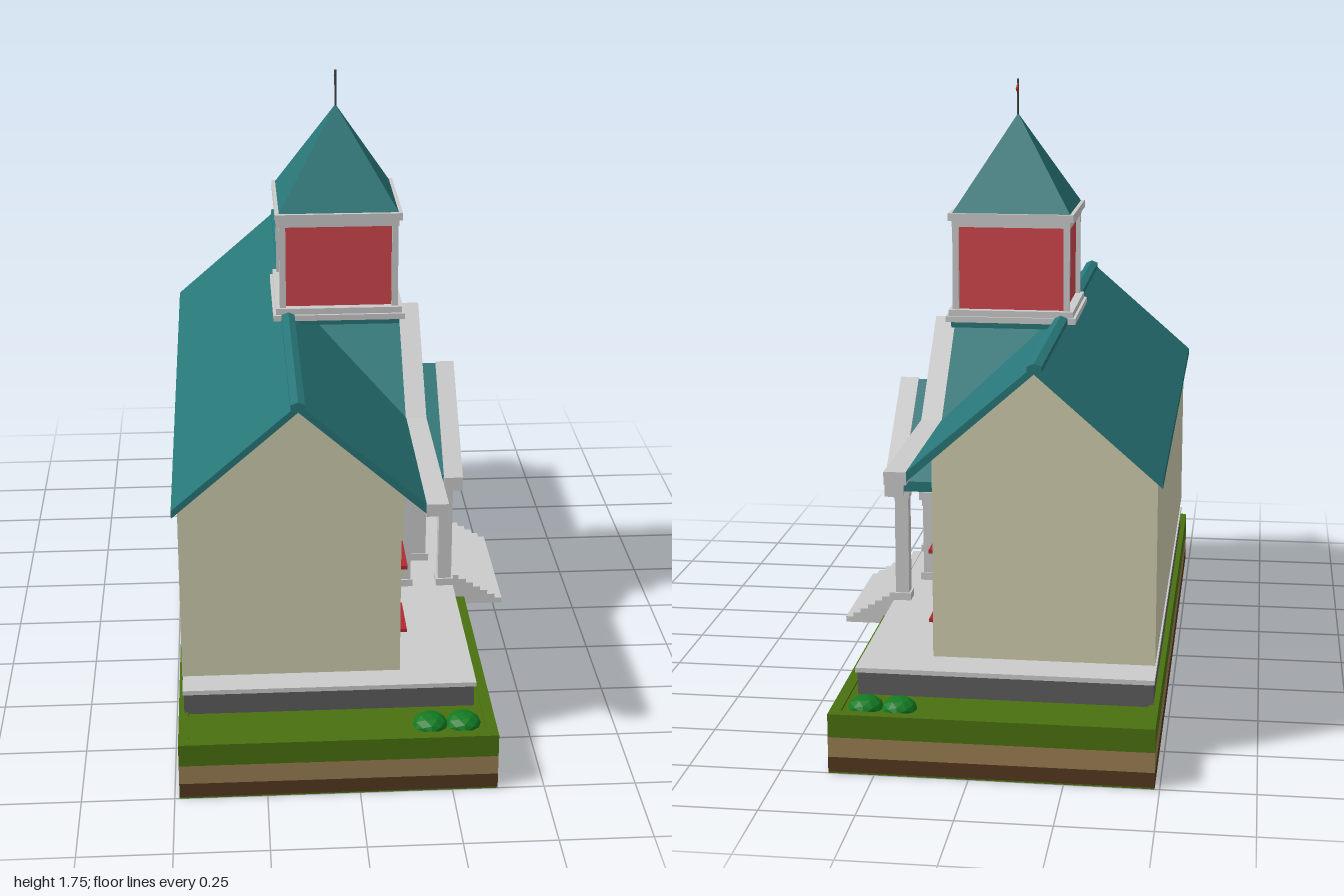
import * as THREE from 'three';

const mat = (color) => new THREE.MeshStandardMaterial({ color, flatShading: true, side: THREE.DoubleSide });

export function createModel() {
  const root = new THREE.Group();
  root.name = 'schoolhouse';
  const M = {
    grey: mat(0xcccccc), stone: mat(0x5e5c5c), teal: mat(0x287678), cream: mat(0xcfcdae), red: mat(0xd2474e),
    sill: mat(0xb02a30), grass: mat(0x4a7010), tan: mat(0x9a7d52), soil: mat(0x543820),
    bush: mat(0x127a22), ring: mat(0x4c5a52), pole: mat(0x444444), flag: mat(0xb5391f),
  };

  const add = (parent, name, geo, m, x = 0, y = 0, z = 0) => {
    const mesh = new THREE.Mesh(geo, m);
    mesh.name = name;
    mesh.position.set(x, y, z);
    parent.add(mesh);
    return mesh;
  };
  // box given by its extents
  const box = (parent, name, m, x0, x1, y0, y1, z0, z1) =>
    add(parent, name, new THREE.BoxGeometry(x1 - x0, y1 - y0, z1 - z0), m, (x0 + x1) / 2, (y0 + y1) / 2, (z0 + z1) / 2);
  const extrude = (pts, depth) => new THREE.ExtrudeGeometry(
    new THREE.Shape(pts.map((p) => new THREE.Vector2(p[0], p[1]))), { depth, bevelEnabled: false });
  // outline in x-y, running along z
  const alongZ = (parent, name, m, pts, z0, z1) => add(parent, name, extrude(pts, z1 - z0), m, 0, 0, z0);
  // symmetric outline in z-y, running along x
  const alongX = (parent, name, m, pts, x0, x1) =>
    add(parent, name, extrude(pts, x1 - x0).rotateY(Math.PI / 2), m, x0, 0, 0);
  const chevron = (half, eave, apex, t) =>
    [[-half, eave - t], [0, apex - t], [half, eave - t], [half, eave], [0, apex], [-half, eave]];
  const group = (name) => {
    const g = new THREE.Group();
    g.name = name;
    root.add(g);
    return g;
  };

  // layered ground with a slightly raised lawn border
  const ground = group('ground');
  box(ground, 'groundUnderside', M.grass, -0.487, 0.373, 0, 0.004, -1, 1);
  box(ground, 'soilLayer', M.soil, -0.487, 0.373, 0.004, 0.045, -1, 1);
  box(ground, 'clayLayer', M.tan, -0.487, 0.373, 0.045, 0.1, -1, 1);
  box(ground, 'lawn', M.grass, -0.487, 0.373, 0.1, 0.158, -1, 1);
  for (const s of [-1, 1])
    box(ground, 'lawnBorderEnd', M.grass, -0.487, 0.373, 0.158, 0.164, s * 0.985 - 0.015, s * 0.985 + 0.015);
  box(ground, 'lawnBorderBack', M.grass, -0.487, -0.46, 0.158, 0.164, -0.97, 0.97);
  box(ground, 'lawnBorderFront', M.grass, 0.343, 0.373, 0.158, 0.164, -0.97, 0.97);
  for (const s of [-1, 1]) for (const x of [0.195, 0.285]) {
    const bush = add(ground, 'bush', new THREE.IcosahedronGeometry(0.048, 1), M.bush, x, 0.158, s * 0.92);
    bush.scale.y = 0.65;
  }

  // plinth and entrance steps
  const plinth = group('plinth');
  box(plinth, 'foundation', M.stone, -0.472, 0.325, 0.155, 0.222, -0.832, 0.832);
  box(plinth, 'terrace', M.grey, -0.475, 0.33, 0.222, 0.235, -0.84, 0.84);
  const steps = [[0.33, 0.14], [0.33, 0.238]];
  const n = 7;
  for (let i = 0; i < n; i++) {
    const x = 0.355 + i * 0.0222, y = 0.238 - i * 0.0135;
    steps.push([x, y], [x, y - 0.0135]);
  }
  steps.push([0.488, 0.14]);
  alongZ(plinth, 'steps', M.grey, steps, -0.21, 0.21);

  // walls: long hall and projecting entrance bay
  const walls = group('walls');
  alongZ(walls, 'hallWalls', M.cream,
    [[-0.475, 0.27], [0.12, 0.27], [0.12, 0.815], [-0.155, 1.065], [-0.475, 0.78]], -0.82, 0.82);
  alongX(walls, 'entranceBay', M.cream,
    [[-0.27, 0.27], [0.27, 0.27], [0.27, 0.775], [0, 1.015], [-0.27, 0.775]], -0.1, 0.18);

  // roofs and eaves
  const roof = group('roof');
  alongZ(roof, 'hallRoof', M.teal,
    [[-0.49, 0.768], [-0.155, 1.06], [0.185, 0.76], [0.185, 0.787], [-0.155, 1.082], [-0.49, 0.79]], -0.867, 0.867);
  alongZ(roof, 'ridgeCap', M.teal,
    [[-0.175, 1.06], [-0.155, 1.072], [-0.137, 1.06], [-0.137, 1.08], [-0.155, 1.088], [-0.175, 1.08]], -0.867, 0.867);
  alongX(roof, 'bayRoof', M.teal, chevron(0.28, 0.79, 1.045, 0.03), -0.155, 0.185);
  alongX(roof, 'bayGableTrim', M.grey, chevron(0.285, 0.788, 1.045, 0.045), 0.18, 0.24);
  for (const s of [-1, 1])
    box(roof, 'eaveTrim', M.grey, 0.18, 0.24, 0.755, 0.79, s * 0.574 - 0.294, s * 0.574 + 0.294);

  // disc facing +x with a dark rim
  const roundel = (parent, name, x, y, r) => {
    add(parent, name, new THREE.CylinderGeometry(r, r, 0.012, 32).rotateZ(Math.PI / 2), M.cream, x, y, 0);
    add(parent, name + 'Rim', new THREE.TorusGeometry(r, 0.006, 8, 32).rotateY(Math.PI / 2), M.ring, x, y, 0);
  };
  roundel(walls, 'gableRoundWindow', 0.18, 0.915, 0.044);

  // windows with glazing bars and red sills
  const windows = group('windows');
  for (const s of [-1, 1]) for (const zc of [0.415, 0.64]) for (const y of [0.335, 0.53]) {
    const z = s * zc, w = 0.063, h = 0.147;
    box(windows, 'windowPane', M.grey, 0.115, 0.124, y, y + h, z - w, z + w);
    for (const e of [-w + 0.004, 0, w - 0.004])
      box(windows, 'glazingBar', M.grey, 0.12, 0.13, y, y + h, z + e - 0.004, z + e + 0.004);
    for (const e of [0.004, h / 2, h - 0.004])
      box(windows, 'glazingRail', M.grey, 0.12, 0.13, y + e - 0.004, y + e + 0.004, z - w, z + w);
    box(windows, 'windowSill', M.sill, 0.12, 0.148, y - 0.006, y + 0.004, z - 0.077, z + 0.077);
  }

  // entrance: double door, door canopy and gabled porch
  const porch = group('porch');
  box(porch, 'leftDoor', M.teal, 0.17, 0.188, 0.27, 0.53, 0, 0.083);
  box(porch, 'rightDoor', M.red, 0.17, 0.188, 0.27, 0.53, -0.088, 0);
  alongX(porch, 'doorCanopy', M.grey, chevron(0.165, 0.54, 0.692, 0.025), 0.18, 0.27);
  alongX(porch, 'porchRoof', M.teal, chevron(0.275, 0.602, 0.85, 0.03), 0.18, 0.3);
  alongX(porch, 'porchGableTrim', M.grey, chevron(0.29, 0.6, 0.855, 0.042), 0.295, 0.35);
  const column = (name, x, z, wx, wz, y0, y1) => {
    const part = (k, a, b) => box(porch, name, M.grey, x - wx * k / 2, x + wx * k / 2, a, b, z - wz * k / 2, z + wz * k / 2);
    part(1.3, y0, y0 + 0.022);
    part(1, y0 + 0.022, y1 - 0.045);
    part(1.15, y1 - 0.045, y1 - 0.025);
    part(1.4, y1 - 0.025, y1);
  };
  for (const s of [-1, 1]) {
    column('porchColumn', 0.305, s * 0.242, 0.04, 0.04, 0.235, 0.592);
    column('wallPilaster', 0.185, s * 0.242, 0.035, 0.04, 0.235, 0.592);
    column('doorColumn', 0.23, s * 0.145, 0.056, 0.022, 0.265, 0.54);
    box(porch, 'porchBeam', M.grey, 0.18, 0.325, 0.575, 0.598, s * 0.245 - 0.02, s * 0.245 + 0.02);
  }

  // bell tower
  const tower = group('tower');
  tower.position.x = -0.008;
  const slab = (name, m, h, y0, y1) => box(tower, name, m, -h, h, y0, y1, -h, h);
  slab('towerUnderside', M.teal, 0.175, 1.045, 1.068);
  slab('towerBase', M.grey, 0.19, 1.063, 1.08);
  slab('towerBaseStep', M.grey, 0.182, 1.08, 1.098);
  slab('towerWalls', M.red, 0.158, 1.098, 1.345);
  slab('towerCornice', M.grey, 0.173, 1.34, 1.358);
  slab('towerCorniceTop', M.grey, 0.182, 1.358, 1.38);
  for (const sx of [-1, 1]) for (const sz of [-1, 1]) {
    const x = sx * 0.162, z = sz * 0.162;
    box(tower, 'cornerPost', M.grey, x - 0.009, x + 0.009, 1.098, 1.34, z - 0.009, z + 0.009);
  }
  add(tower, 'spire', new THREE.ConeGeometry(0.171 * Math.SQRT2, 0.275, 4).rotateY(Math.PI / 4), M.teal, 0, 1.5175, 0);
  roundel(tower, 'clockFace', 0.16, 1.22, 0.064);
  add(tower, 'flagPole', new THREE.CylinderGeometry(0.003, 0.003, 0.12, 8), M.pole, 0, 1.695, 0);
  const flag = add(tower, 'flag', extrude([[0, 1.712], [0.042, 1.728], [0, 1.744]], 0.004), M.flag, -0.002, 0, 0);
  flag.rotation.y = Math.PI / 2;
  return root;
}
